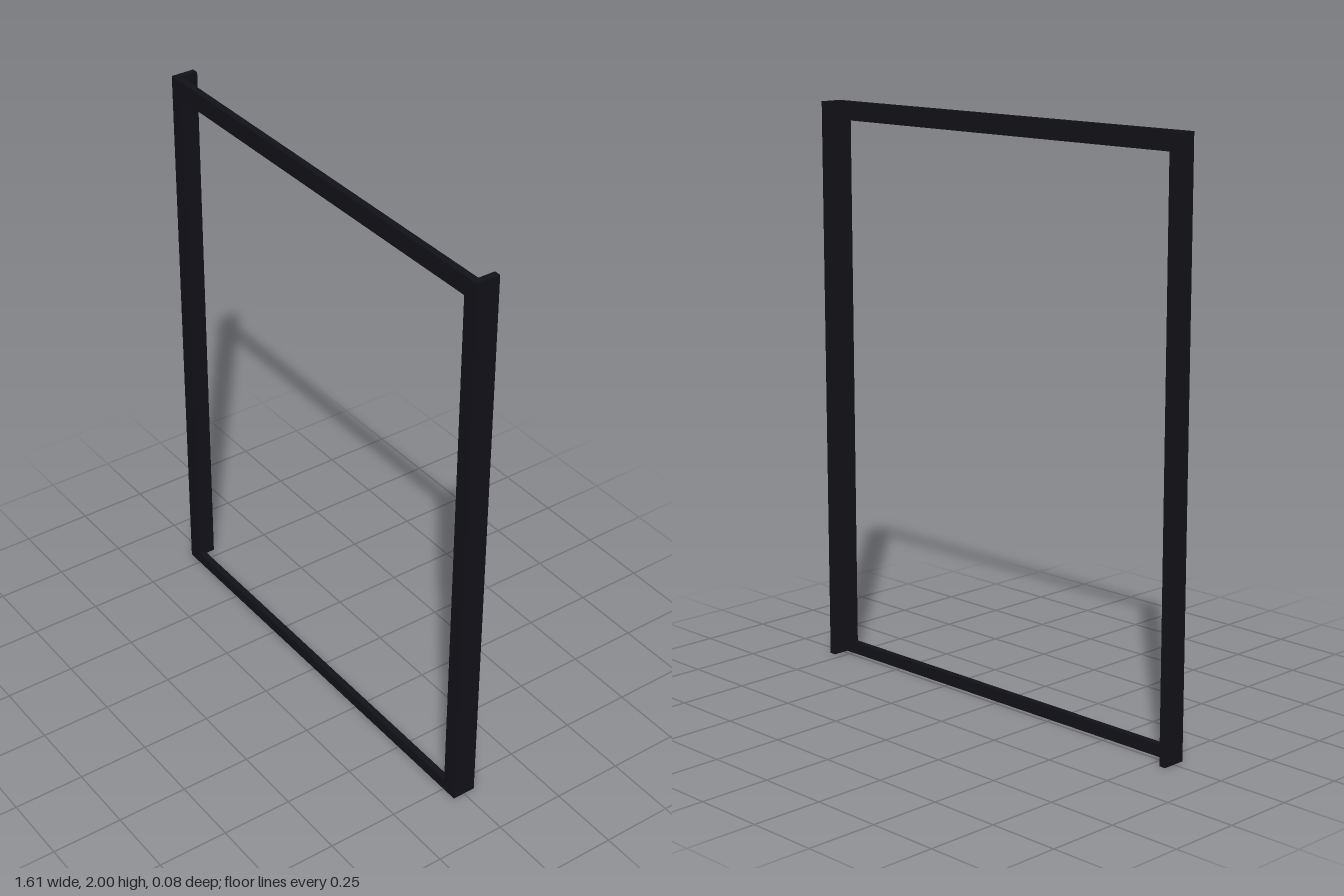
import * as THREE from 'three';

const HALF_W = 0.807;   // outer half width
const HALF_D = 0.042;   // half depth
const T = 0.024;        // sheet thickness
const STILE = 0.055;    // visible width of the uprights
const HEIGHT = 2;

export function createModel() {
  const group = new THREE.Group();
  group.name = 'openFrame';
  const material = new THREE.MeshStandardMaterial({ color: 0x111118 });

  function add(name, geometry) {
    const mesh = new THREE.Mesh(geometry, material);
    mesh.name = name;
    group.add(mesh);
    return mesh;
  }

  // L-section uprights: front face plus a flange running back along the outer edge
  for (const [name, s] of [['leftUpright', 1], ['rightUpright', -1]]) {
    const section = [
      [HALF_W, HALF_D], [HALF_W - STILE, HALF_D], [HALF_W - STILE, HALF_D - T],
      [HALF_W - T, HALF_D - T], [HALF_W - T, -HALF_D], [HALF_W, -HALF_D],
    ].map(([x, z]) => new THREE.Vector2(s * x, -z));
    const geometry = new THREE.ExtrudeGeometry(new THREE.Shape(section), {
      depth: HEIGHT, bevelEnabled: false,
    });
    geometry.rotateX(-Math.PI / 2);
    add(name, geometry);
  }

  // Flat rails between the uprights, flush with the front
  const railLength = 2 * (HALF_W - STILE);
  for (const [name, height, y] of [
    ['topRail', 0.065, HEIGHT - 0.0325],
    ['bottomRail', 0.041, 0.0205],
  ]) {
    add(name, new THREE.BoxGeometry(railLength, height, T))
      .position.set(0, y, HALF_D - T / 2);
  }

  return group;
}
